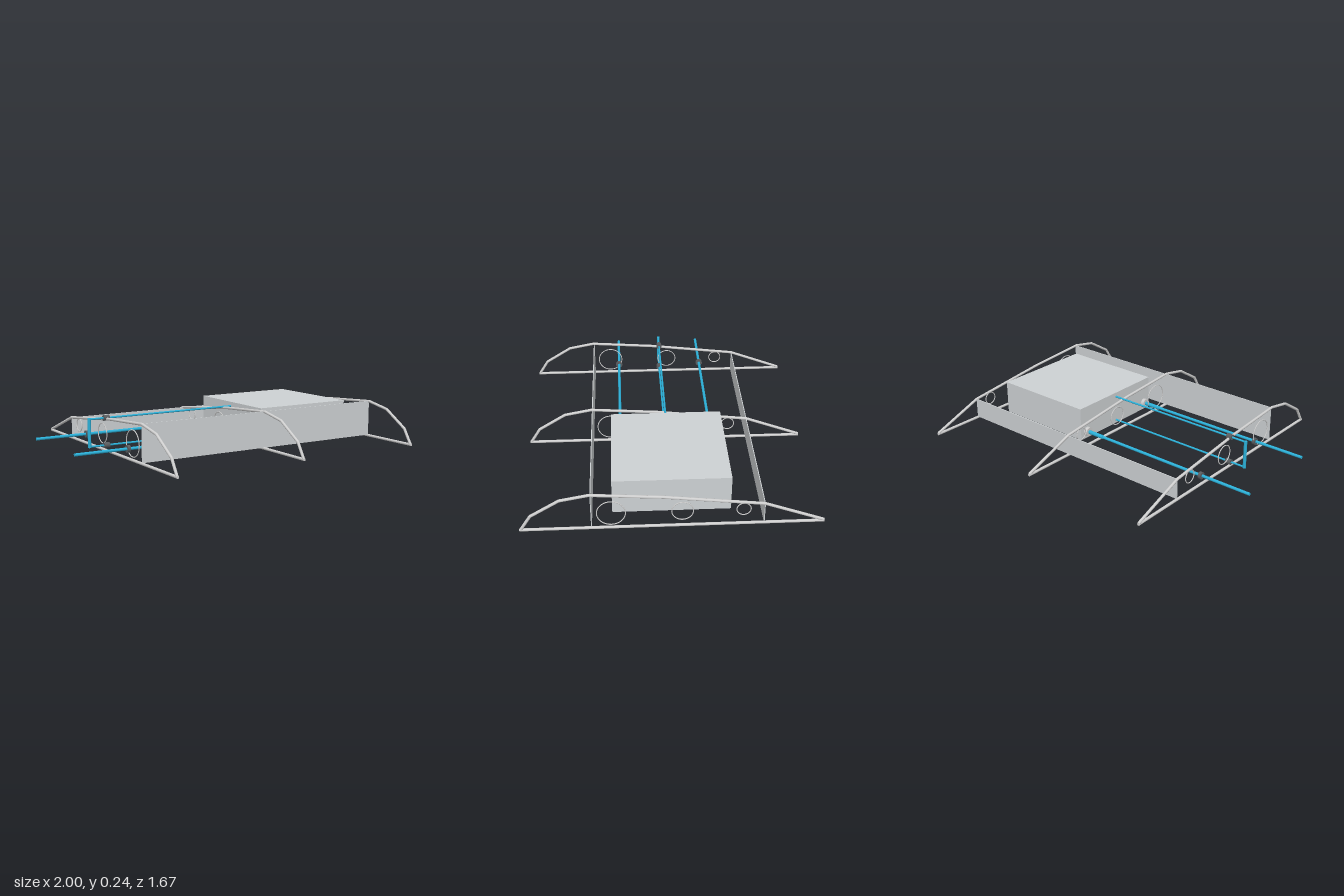
import * as THREE from 'three';

const material = (name, color, side = THREE.FrontSide) =>
  Object.assign(new THREE.MeshStandardMaterial({ color, side }), { name });

export function createModel() {
  const model = new THREE.Group();
  model.name = 'wingFrame';
  const frameGrey = material('frameGrey', 0xcecece);
  const panelGrey = material('panelGrey', 0xcdd1d3, THREE.DoubleSide);
  const collarGrey = material('collarGrey', 0x5a5d60);
  const rodBlue = material('rodBlue', 0x2bb0d8);

  const add = (parent, name, geometry, mat, x = 0, y = 0, z = 0) => {
    const mesh = new THREE.Mesh(geometry, mat);
    mesh.name = name;
    mesh.position.set(x, y, z);
    parent.add(mesh);
    return mesh;
  };

  // Round bar between two points
  const bar = (parent, name, a, b, radius, mat) => {
    const from = new THREE.Vector3(...a), to = new THREE.Vector3(...b);
    const dir = to.clone().sub(from);
    const mesh = add(parent, name, new THREE.CylinderGeometry(radius, radius, dir.length(), 16), mat);
    mesh.position.copy(from).add(to).multiplyScalar(0.5);
    mesh.quaternion.setFromUnitVectors(new THREE.Vector3(0, 1, 0), dir.normalize());
  };

  // Ribs: bent tube outline as [z, y], straight lower tube and lightening rings
  const r = 0.0085;
  const outline = [[0.825, 0.012], [0.77, 0.1], [0.61, 0.2], [0.45, 0.231],
    [0.05, 0.203], [-0.5, 0.138], [-0.826, 0.016]];
  const rings = [[0.335, 0.078], [-0.052, 0.059], [-0.385, 0.039]];
  const ribX = [-0.67, 0.16, 0.989];
  for (const x of ribX) {
    const rib = new THREE.Group();
    rib.name = 'rib';
    rib.position.x = x;
    model.add(rib);
    bar(rib, 'lowerTube', [0, r, 0.833], [0, r, -0.833], r, frameGrey);
    outline.forEach(([z, y], i) => {
      add(rib, 'tubeJoint', new THREE.SphereGeometry(r, 12, 8), frameGrey, 0, y, z);
      if (i) bar(rib, 'upperTube', [0, outline[i - 1][1], outline[i - 1][0]], [0, y, z], r, frameGrey);
    });
    for (const [z, radius] of rings) {
      const ring = add(rib, 'ring', new THREE.TorusGeometry(radius, 0.003, 8, 40), frameGrey, 0, 0.105, z);
      ring.rotation.y = Math.PI / 2;
    }
  }

  // Thin spars joining the ribs
  const span = ribX[2] - ribX[0], middle = (ribX[2] + ribX[0]) / 2;
  for (const [name, z, top] of [['frontSpar', 0.443, 0.233], ['rearSpar', -0.5, 0.138]]) {
    add(model, name, new THREE.BoxGeometry(span, top - 0.012, 0.005), panelGrey, middle, (top + 0.012) / 2, z);
  }

  // Tank between the middle and outer ribs
  add(model, 'tank', new THREE.BoxGeometry(0.662, 0.212, 0.66), panelGrey, 0.546, 0.126, 0);

  // Pair of long tubes with sleeves, tank flanges and rib collars
  for (const z of [-0.277, 0.277]) {
    const y = 0.065;
    bar(model, 'longTube', [-1, y, z], [0.2, y, z], 0.009, rodBlue);
    bar(model, 'sleeve', [0.08, y, z], [0.195, y, z], 0.0125, rodBlue);
    bar(model, 'tankFlange', [0.192, y, z], [0.215, y, z], 0.029, frameGrey);
    bar(model, 'ribCollar', [-0.679, y, z], [-0.661, y, z], 0.022, collarGrey);
  }

  // Central rods joined by an upright at the tip
  const tipX = -0.78, levels = [0.041, 0.205];
  bar(model, 'upright', [tipX, levels[0] - 0.006, 0], [tipX, levels[1] + 0.006, 0], 0.01, rodBlue);
  for (const y of levels) {
    bar(model, 'centralRod', [tipX, y, 0], [0.215, y, 0], 0.006, rodBlue);
    bar(model, 'rodCollar', [-0.688, y, 0], [-0.652, y, 0], 0.017, collarGrey);
  }
  return model;
}
